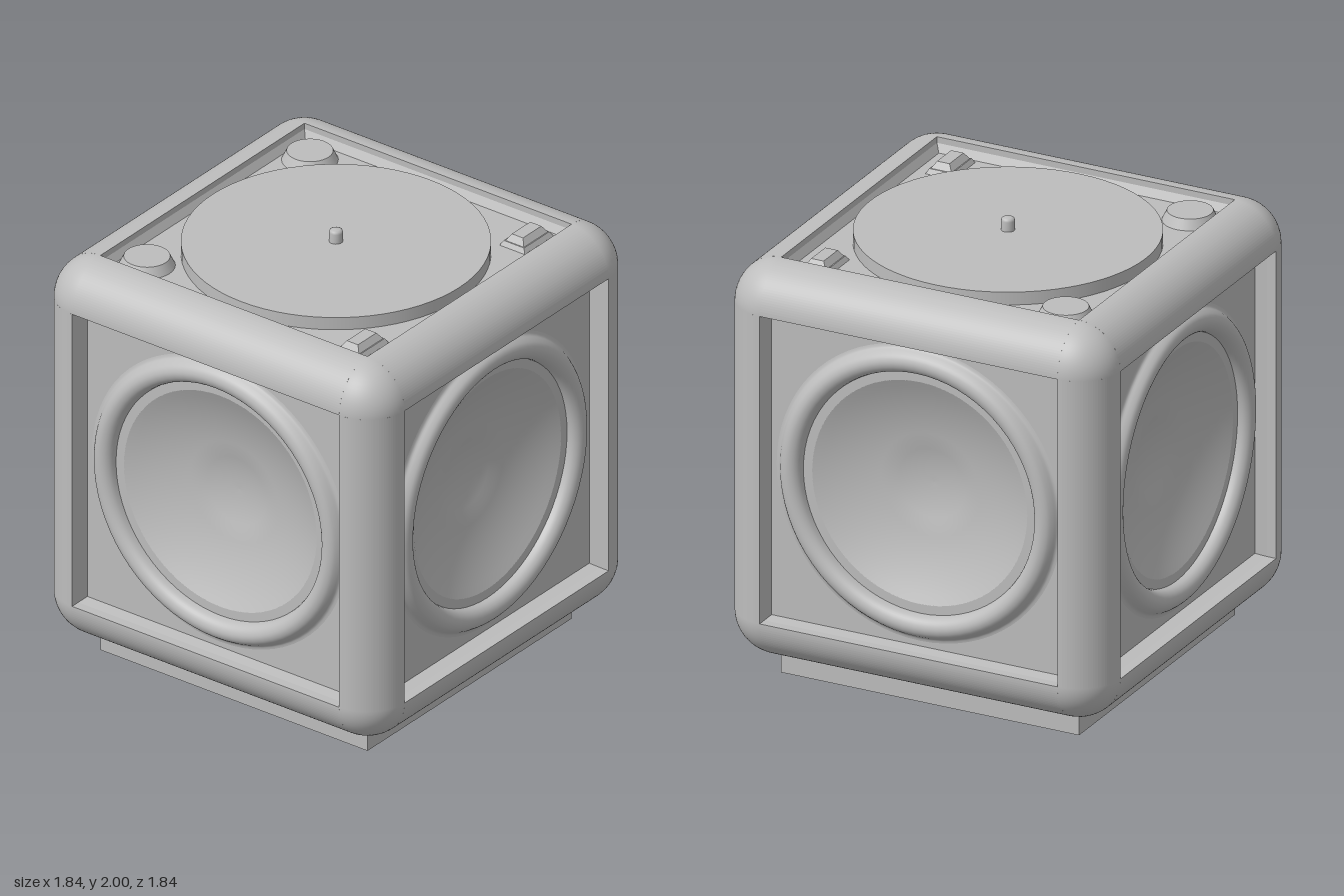
import * as THREE from 'three';

const CY = 1.025;   // height of the cube centre
const HALF = 0.92;  // half width of the cube
const IN = 0.72;    // half width of the face openings
const R = HALF - IN; // edge rounding

export function createModel() {
  const root = new THREE.Group();
  const grey = new THREE.MeshStandardMaterial({ color: 0xbdbdbd, side: THREE.DoubleSide });
  grey.name = 'lightGrey';

  const add = (parent, name, geo, x = 0, y = 0, z = 0) => {
    const m = new THREE.Mesh(geo, grey);
    m.name = name;
    m.position.set(x, y, z);
    parent.add(m);
  };
  const flat = (geo) => {
    const g = geo.toNonIndexed();
    g.computeVertexNormals();
    return g;
  };
  const points = (list) => list.map(([x, y]) => new THREE.Vector2(x, y));
  // box whose top is narrowed to (tw, td)
  const frustum = (w, h, d, tw, td) => {
    const g = new THREE.BoxGeometry(w, h, d);
    const p = g.attributes.position;
    for (let i = 0; i < p.count; i++) {
      if (p.getY(i) > 0) p.setXYZ(i, Math.sign(p.getX(i)) * tw / 2, h / 2, Math.sign(p.getZ(i)) * td / 2);
    }
    return flat(g);
  };

  // Rounded cube frame: twelve quarter-round bars and eight corner octants
  const frame = new THREE.Group();
  frame.name = 'frame';
  frame.position.y = CY;
  root.add(frame);
  const quarter = new THREE.Shape();
  quarter.moveTo(0, 0);
  quarter.lineTo(R, 0);
  quarter.absarc(0, 0, R, 0, Math.PI / 2, false);
  quarter.lineTo(0, 0);
  const bar = new THREE.ExtrudeGeometry(quarter, { depth: 2 * IN, bevelEnabled: false, curveSegments: 14 });
  bar.translate(IN, IN, -IN);
  const octant = new THREE.SphereGeometry(R, 14, 14, Math.PI / 2, Math.PI / 2, 0, Math.PI / 2);
  octant.translate(IN, IN, IN);
  const axes = [[0, 0], [0, Math.PI / 2], [Math.PI / 2, 0]];
  for (let k = 0; k < 4; k++) {
    for (const [rx, ry] of axes) {
      add(frame, 'frameBar', bar.clone().rotateZ(k * Math.PI / 2).rotateX(rx).rotateY(ry));
    }
    add(frame, 'frameCorner', octant.clone().rotateY(k * Math.PI / 2));
    add(frame, 'frameCorner', octant.clone().rotateZ(-Math.PI / 2).rotateY(k * Math.PI / 2));
  }

  // Slightly sloped square lining of a recess, opening towards +y
  const lining = (depth, inner) => {
    const s = Math.SQRT2;
    const g = new THREE.LatheGeometry(points([[inner * s, -depth], [0.722 * s, -0.025]]), 4);
    return flat(g.rotateY(Math.PI / 4));
  };

  // Speaker panel, surround ring and cone, facing +z
  const DEPTH = 0.1;
  const plate = new THREE.Shape();
  plate.moveTo(-IN, -IN);
  plate.lineTo(IN, -IN);
  plate.lineTo(IN, IN);
  plate.lineTo(-IN, IN);
  plate.closePath();
  const hole = new THREE.Path();
  hole.absarc(0, 0, 0.61, 0, Math.PI * 2, true);
  plate.holes.push(hole);
  const plateGeo = new THREE.ShapeGeometry(plate, 48);
  // surround: flared outside, round crest, steep inside
  const surround = new THREE.SplineCurve(points([
    [0.69, 0], [0.673, 0.006], [0.66, 0.025], [0.642, 0.044], [0.615, 0.052],
    [0.588, 0.044], [0.57, 0.025], [0.563, 0], [0.563, -0.01],
  ]));
  const ringGeo = new THREE.LatheGeometry(surround.getPoints(24), 72).rotateX(Math.PI / 2);
  const rimGeo = new THREE.RingGeometry(0.519, 0.612, 72);
  // shallow cone with a dished cap in the middle
  const bowl = [];
  for (let i = 0; i <= 13; i++) {
    const r = 0.04 * i;
    const o = r - 0.2;
    bowl.push([r, (o <= 0 ? 0.75 * r * r : 0.03 + 0.15 * o + 0.55 * o * o) - 0.134]);
  }
  const coneGeo = new THREE.LatheGeometry(points(bowl), 72).rotateX(Math.PI / 2);
  const liningGeo = lining(DEPTH, 0.714).rotateX(Math.PI / 2);
  ['front', 'left', 'back', 'right'].forEach((side, i) => {
    const face = new THREE.Group();
    face.name = side + 'Speaker';
    face.position.y = CY;
    face.rotation.y = i * Math.PI / 2;
    add(face, 'recessLining', liningGeo, 0, 0, HALF);
    add(face, 'speakerPanel', plateGeo, 0, 0, HALF - DEPTH);
    add(face, 'surroundRing', ringGeo, 0, 0, HALF - DEPTH);
    add(face, 'coneRim', rimGeo, 0, 0, HALF - DEPTH - 0.004);
    add(face, 'speakerCone', coneGeo, 0, 0, HALF - DEPTH - 0.004);
    root.add(face);
  });

  // Turntable deck on top
  const deck = new THREE.Group();
  deck.name = 'turntable';
  root.add(deck);
  const floor = 1.88;
  add(deck, 'deckLining', lining(CY + HALF - floor, 0.7), 0, CY + HALF, 0);
  add(deck, 'deckPanel', new THREE.BoxGeometry(2 * IN, 0.04, 2 * IN), 0, floor - 0.02, 0);
  add(deck, 'platter', new THREE.CylinderGeometry(0.665, 0.665, 0.06, 72), 0, 1.91, 0);
  const pin = [[0.03, 0], [0.03, 0.045], [0.027, 0.055], [0.018, 0.06], [0, 0.061]];
  add(deck, 'spindle', new THREE.LatheGeometry(points(pin), 20), 0, 1.939, 0);
  for (const s of [-1, 1]) {
    add(deck, 'knob', new THREE.CylinderGeometry(0.1, 0.122, 0.046, 36), s * 0.575, floor + 0.023, -0.58);
    add(deck, 'buttonBase', frustum(0.205, 0.022, 0.135, 0.18, 0.11), s * 0.582, floor + 0.011, 0.583);
    add(deck, 'buttonCap', frustum(0.17, 0.03, 0.1, 0.13, 0.06), s * 0.582, floor + 0.037, 0.583);
  }

  // Plinth under the cube
  add(root, 'plinth', new THREE.BoxGeometry(2 * IN, 0.2, 2 * IN), 0, 0.1, 0);
  return root;
}
